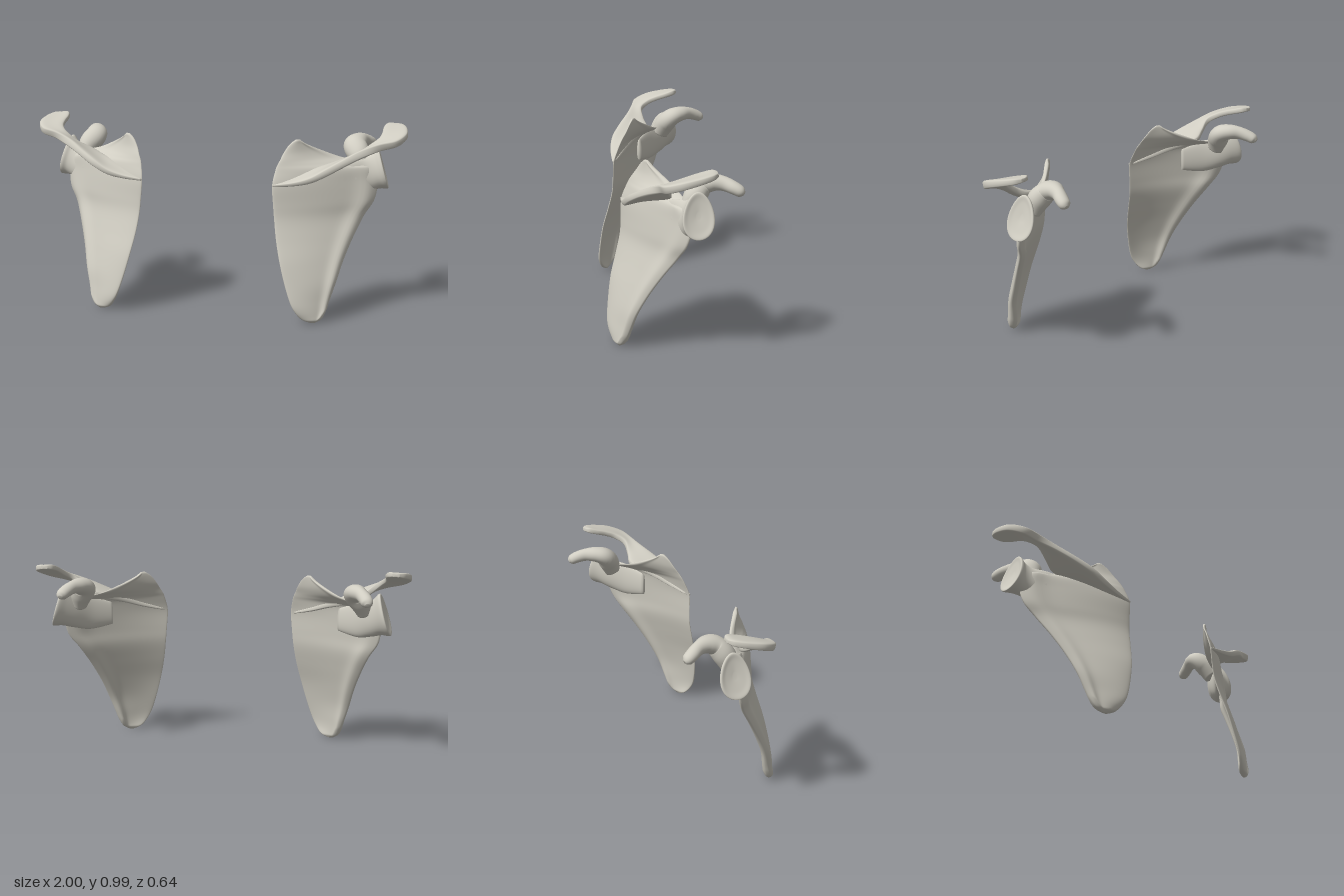
import * as THREE from 'three';

const V = (x, y, z) => new THREE.Vector3(x, y, z);

// Resample rows of numbers with a uniform Catmull-Rom spline, column by column
function smoothRows(rows, n) {
  const last = rows.length - 1;
  return Array.from({ length: n + 1 }, (_, k) => {
    const f = (k / n) * last;
    const i = Math.min(Math.floor(f), last - 1);
    const t = f - i;
    const at = (j) => rows[Math.max(0, Math.min(last, j))];
    return rows[0].map((_, c) => {
      const [a, b, d, e] = [at(i - 1)[c], at(i)[c], at(i + 1)[c], at(i + 2)[c]];
      return b + 0.5 * t * (d - a + t * (2 * a - 5 * b + 4 * d - e + t * (3 * (b - d) + e - a)));
    });
  });
}

// Skin a list of closed rings, cap both ends, and turn the faces outward
function loft(rings, side) {
  const m = rings[0].length;
  const points = rings.flat();
  const index = [];
  for (let r = 0; r < rings.length - 1; r++) {
    for (let j = 0; j < m; j++) {
      const a = r * m + j, b = r * m + ((j + 1) % m);
      index.push(a, b, b + m, a, b + m, a + m);
    }
  }
  for (const r of [0, rings.length - 1]) {
    const centre = rings[r].reduce((s, p) => s.add(p), V(0, 0, 0)).divideScalar(m);
    const c = points.push(centre) - 1;
    for (let j = 0; j < m; j++) {
      const a = r * m + j, b = r * m + ((j + 1) % m);
      index.push(...(r === 0 ? [c, b, a] : [c, a, b]));
    }
  }
  const placed = points.map((p) => V(p.x * side, p.y, p.z));
  let volume = 0;
  for (let i = 0; i < index.length; i += 3) {
    const [a, b, c] = [0, 1, 2].map((k) => placed[index[i + k]]);
    volume += a.dot(b.clone().cross(c));
  }
  if (volume < 0) index.reverse();
  const geometry = new THREE.BufferGeometry().setFromPoints(placed);
  geometry.setIndex(index);
  geometry.computeVertexNormals();
  return geometry;
}

const ring = (m, fn) => Array.from({ length: m }, (_, j) => fn((j / m) * Math.PI * 2));

// Thin triangular blade: y, inner edge x z, outer edge x z
function bladeRings() {
  const rows = [
    [0.0, 0.555, 0.268, 0.585, 0.262], [0.02, 0.515, 0.288, 0.613, 0.245],
    [0.06, 0.485, 0.308, 0.632, 0.225], [0.11, 0.46, 0.315, 0.647, 0.208],
    [0.2, 0.43, 0.308, 0.675, 0.18], [0.31, 0.4, 0.293, 0.705, 0.125],
    [0.42, 0.375, 0.265, 0.745, 0.06], [0.52, 0.36, 0.242, 0.79, -0.005],
    [0.6, 0.352, 0.236, 0.838, -0.045], [0.7, 0.345, 0.232, 0.85, -0.07],
    [0.77, 0.355, 0.208, 0.83, -0.065], [0.8, 0.363, 0.195, 0.74, -0.045],
    [0.825, 0.375, 0.182, 0.65, -0.015], [0.86, 0.39, 0.16, 0.57, 0.03],
    [0.9, 0.415, 0.138, 0.495, 0.085], [0.925, 0.445, 0.12, 0.465, 0.108],
  ];
  return smoothRows(rows, 80).map(([y, mx, mz, lx, lz]) => {
    const dx = lx - mx, dz = lz - mz, width = Math.hypot(dx, dz);
    return ring(56, (a) => {
      const u = 0.5 - 0.5 * Math.cos(a);
      const bow = 0.045 * width * Math.sin(Math.PI * Math.pow(u, 0.8));
      // Thicker ridge along the outer border and at the lower tip
      const ridge = 0.02 * Math.exp(-(((u - 0.9) / 0.1) ** 2)) * (y > 0.78 ? 0.3 : 1);
      const half = Math.min(0.008 + ridge + 0.012 * Math.exp(-y * 9), width * 0.2);
      const off = bow + half * Math.sign(Math.sin(a)) * Math.pow(Math.abs(Math.sin(a)), 0.55);
      return V(mx + dx * u - (dz / width) * off, y, mz + dz * u + (dx / width) * off);
    });
  });
}

// Ridge across the blade sweeping out to the flat shoulder tip:
// root x y z, crest x y z, root and crest half thickness
function spineRings() {
  const rows = [
    [0.375, 0.71, 0.21, 0.348, 0.70, 0.238, 0.006, 0.008],
    [0.47, 0.74, 0.16, 0.45, 0.712, 0.24, 0.016, 0.016],
    [0.55, 0.77, 0.11, 0.54, 0.735, 0.238, 0.022, 0.024],
    [0.63, 0.79, 0.055, 0.62, 0.778, 0.222, 0.024, 0.028],
    [0.695, 0.81, 0.015, 0.70, 0.822, 0.182, 0.024, 0.028],
    [0.765, 0.845, 0.03, 0.78, 0.862, 0.135, 0.02, 0.03],
    [0.825, 0.895, 0.035, 0.87, 0.893, 0.092, 0.02, 0.03],
    [0.86, 0.925, -0.005, 0.955, 0.912, 0.066, 0.02, 0.03],
    [0.868, 0.945, -0.055, 0.998, 0.938, -0.005, 0.02, 0.028],
    [0.868, 0.962, -0.11, 0.995, 0.958, -0.09, 0.02, 0.024],
    [0.88, 0.975, -0.155, 0.972, 0.97, -0.15, 0.02, 0.02],
    [0.905, 0.977, -0.175, 0.94, 0.975, -0.176, 0.012, 0.012],
  ];
  const list = smoothRows(rows, 72).map((q) => ({
    b: V(q[0], q[1], q[2]), c: V(q[3], q[4], q[5]), tb: q[6], tc: q[7],
  }));
  return list.map(({ b, c, tb, tc }, i) => {
    const p = list[Math.max(0, i - 1)], n = list[Math.min(list.length - 1, i + 1)];
    const along = n.b.clone().add(n.c).sub(p.b).sub(p.c);
    const normal = c.clone().sub(b).cross(along).normalize();
    return ring(32, (a) => {
      const u = 0.5 - 0.5 * Math.cos(a);
      const waist = 1 - 0.3 * Math.sin(Math.PI * u);
      const s = Math.sign(Math.sin(a)) * Math.pow(Math.abs(Math.sin(a)), 0.5);
      return b.clone().lerp(c, u).addScaledVector(normal, (tb + (tc - tb) * u) * waist * s);
    });
  });
}

// Neck flaring into the shallow egg-shaped socket:
// centre x y z, half height, half width, lean of the two axes
function socketRings() {
  const rows = [
    [0.62, 0.70, 0.07, 0.06, 0.012, 0, 0.6],
    [0.72, 0.71, 0.005, 0.09, 0.026, -0.05, 0.5],
    [0.79, 0.725, -0.05, 0.09, 0.042, -0.15, 0.35],
    [0.835, 0.745, -0.08, 0.097, 0.058, -0.25, 0.2],
    [0.864, 0.758, -0.094, 0.112, 0.075, -0.28, 0.1],
    [0.876, 0.76, -0.095, 0.108, 0.071, -0.28, 0.1],
    [0.870, 0.76, -0.095, 0.075, 0.048, -0.28, 0.1],
    [0.864, 0.76, -0.095, 0.015, 0.01, -0.28, 0.1],
  ];
  return smoothRows(rows, 42).map(([x, y, z, ry, rz, ux, vx]) => {
    const up = V(ux, 1, 0).normalize(), out = V(vx, 0, 1).normalize();
    return ring(36, (a) => V(x, y, z)
      .addScaledVector(up, ry * Math.sin(a))
      .addScaledVector(out, rz * Math.cos(a) * (1 - 0.2 * Math.sin(a))));
  });
}

// Hooked finger of bone: centre x y z, sideways radius, other radius
function hookRings() {
  const rows = [
    [0.76, 0.76, -0.065, 0.035, 0.045], [0.745, 0.82, -0.093, 0.058, 0.056],
    [0.72, 0.865, -0.13, 0.062, 0.05], [0.73, 0.882, -0.18, 0.05, 0.042],
    [0.753, 0.88, -0.23, 0.034, 0.035], [0.778, 0.864, -0.275, 0.034, 0.031],
    [0.79, 0.848, -0.305, 0.029, 0.026], [0.793, 0.84, -0.32, 0.012, 0.01],
  ];
  const list = smoothRows(rows, 42);
  return list.map(([x, y, z, ra, rb], i) => {
    const p = list[Math.max(0, i - 1)], n = list[Math.min(list.length - 1, i + 1)];
    const along = V(n[0] - p[0], n[1] - p[1], n[2] - p[2]).normalize();
    const across = V(1, 0, 0).addScaledVector(along, -along.x).normalize();
    const other = along.clone().cross(across);
    return ring(28, (a) => V(x, y, z)
      .addScaledVector(across, ra * Math.cos(a))
      .addScaledVector(other, rb * Math.sin(a)));
  });
}

export function createModel() {
  const bone = new THREE.MeshStandardMaterial({ color: 0xd0cdc2 });
  bone.name = 'bone';
  const model = new THREE.Group();
  model.name = 'shoulderBlades';
  const parts = {
    blade: bladeRings(), spineAndAcromion: spineRings(),
    neckAndSocket: socketRings(), coracoidHook: hookRings(),
  };
  // Left bone on +x and its mirror image on -x
  for (const side of [1, -1]) {
    const half = new THREE.Group();
    half.name = side > 0 ? 'leftShoulderBlade' : 'rightShoulderBlade';
    for (const [name, rings] of Object.entries(parts)) {
      const mesh = new THREE.Mesh(loft(rings, side), bone);
      mesh.name = name;
      half.add(mesh);
    }
    model.add(half);
  }
  return model;
}
